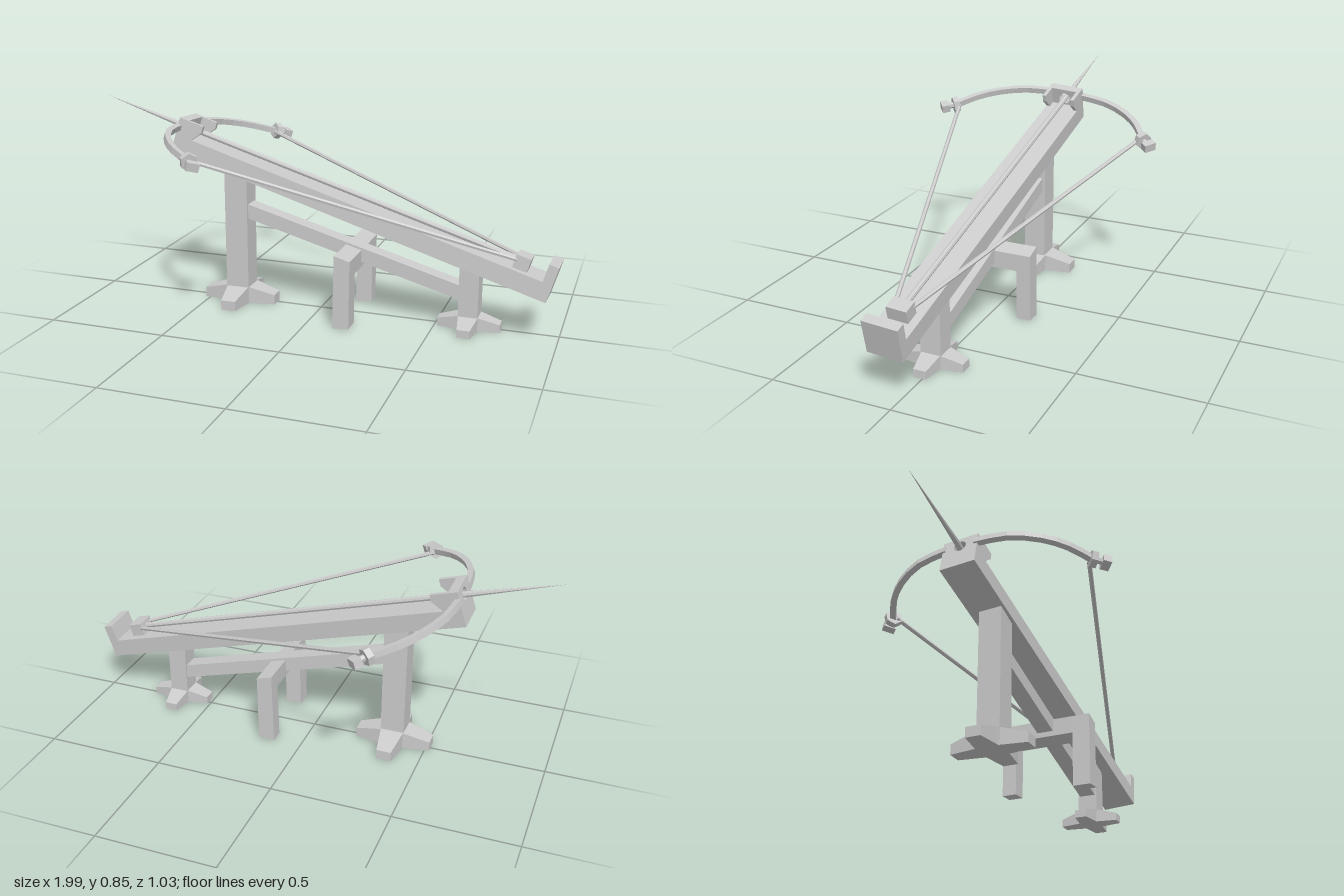
import * as THREE from 'three';

const mat = new THREE.MeshStandardMaterial({ color: 0xcccccc, flatShading: true });

function add(parent, name, geo, x = 0, y = 0, z = 0) {
  const m = new THREE.Mesh(geo, mat);
  m.name = name;
  m.position.set(x, y, z);
  parent.add(m);
  return m;
}

// Box given by its limits on each axis
function block(parent, name, x0, x1, y0, y1, z0, z1) {
  return add(parent, name, new THREE.BoxGeometry(x1 - x0, y1 - y0, z1 - z0),
    (x0 + x1) / 2, (y0 + y1) / 2, (z0 + z1) / 2);
}

// Side outline in x, y extruded from z0 to z1
function slab(parent, name, pts, z0, z1) {
  const shape = new THREE.Shape(pts.map(p => new THREE.Vector2(...p)));
  const geo = new THREE.ExtrudeGeometry(shape, { depth: z1 - z0, bevelEnabled: false });
  return add(parent, name, geo, 0, 0, z0);
}

// Rod between two points; r0 at the start, r1 at the end
function rod(parent, name, a, b, r0, r1, sides) {
  const dir = b.clone().sub(a);
  const geo = new THREE.CylinderGeometry(r1, r0, dir.length(), sides);
  const m = add(parent, name, geo);
  m.position.copy(a).add(b).multiplyScalar(0.5);
  m.quaternion.setFromUnitVectors(new THREE.Vector3(0, 1, 0), dir.normalize());
  return m;
}

// Four tapering toes around a post
function starFoot(parent, name, x, z, hub, reach, height) {
  const foot = new THREE.Group();
  foot.name = name;
  foot.position.set(x, 0.005, z);
  block(foot, 'footHub', -hub, hub, 0, height, -hub, hub);
  for (let i = 0; i < 4; i++) {
    const geo = new THREE.BoxGeometry(reach - hub, height, hub * 2);
    geo.translate((reach + hub) / 2, height / 2, 0);
    const p = geo.attributes.position;
    for (let k = 0; k < p.count; k++) {
      if (p.getX(k) > (reach + hub) / 2) {
        p.setY(k, p.getY(k) * 0.58);
        p.setZ(k, p.getZ(k) * 0.65);
      }
    }
    geo.rotateY(i * Math.PI / 2);
    add(foot, 'footToe', geo);
  }
  parent.add(foot);
}

function makeStand() {
  const stand = new THREE.Group();
  stand.name = 'stand';
  const zc = 0.012;
  block(stand, 'frontPost', -0.41, -0.31, 0.03, 0.6, zc - 0.048, zc + 0.048);
  block(stand, 'rearPost', 0.6, 0.68, 0.03, 0.29, zc - 0.043, zc + 0.043);
  starFoot(stand, 'frontFoot', -0.36, zc - 0.005, 0.048, 0.16, 0.072);
  starFoot(stand, 'rearFoot', 0.64, zc, 0.04, 0.128, 0.057);
  slab(stand, 'slopingBrace', [[-0.32, 0.385], [0.61, 0.128], [0.61, 0.188], [-0.32, 0.447]],
    zc - 0.035, zc + 0.035);
  // Two-legged trestle under the brace
  const leg = [[0.118, 0.005], [0.187, 0.01], [0.19, 0.295], [0.124, 0.314]];
  slab(stand, 'trestleLeg', leg, 0.135, 0.21);
  slab(stand, 'trestleLeg', leg, -0.18, -0.12);
  slab(stand, 'trestleBar', [[0.123, 0.24], [0.189, 0.222], [0.19, 0.295], [0.124, 0.314]], -0.12, 0.135);
  return stand;
}

// Weapon in its own frame: x runs from the muzzle to the rear, y up, z across
function makeWeapon() {
  const g = new THREE.Group();
  g.name = 'weapon';
  const hw = 0.074, boltY = 0.103;
  block(g, 'stock', 0, 1.67, 0, 0.075, -hw, hw);
  block(g, 'rearStop', 1.63, 1.67, 0.075, 0.15, -hw, hw);
  block(g, 'triggerBlock', 1.5, 1.56, 0.075, 0.13, -0.042, 0.042);

  // Muzzle plate with a round hole for the bolt
  const plate = new THREE.Shape();
  plate.moveTo(-hw, 0.075).lineTo(hw, 0.075).lineTo(hw, 0.15).lineTo(-hw, 0.15).closePath();
  const hole = new THREE.Path();
  hole.absarc(0, 0.107, 0.026, 0, Math.PI * 2, true);
  plate.holes.push(hole);
  const plateGeo = new THREE.ExtrudeGeometry(plate, { depth: 0.04, bevelEnabled: false, curveSegments: 8 });
  plateGeo.rotateY(Math.PI / 2);
  add(g, 'muzzlePlate', plateGeo);

  // Bolt with a long point
  const at = (x, z = 0, y = boltY) => new THREE.Vector3(x, y, z);
  rod(g, 'boltShaft', at(0), at(1.5), 0.012, 0.012, 8);
  rod(g, 'boltPoint', at(0), at(-0.393), 0.013, 0, 8);

  for (const s of [1, -1]) {
    const cheek = [[0.04, 0.075], [0.075, 0.075], [0.112, 0.12], [0.112, 0.15], [0.04, 0.15]];
    slab(g, 'muzzleCheek', cheek, s > 0 ? hw - 0.016 : -hw, s > 0 ? hw : -hw + 0.016);

    // Curved bow limb: a band following the curve
    const curve = new THREE.CatmullRomCurve3([
      [0.004, 0.06], [0.022, 0.19], [0.08, 0.305], [0.155, 0.385], [0.25, 0.445],
    ].map(p => new THREE.Vector3(p[0], p[1] * s, 0)));
    const outer = [], inner = [];
    for (let i = 0; i <= 8; i++) {
      const p = curve.getPoint(i / 8), t = curve.getTangent(i / 8), h = 0.012;
      outer.push(new THREE.Vector2(p.x - t.y * h, p.y + t.x * h));
      inner.unshift(new THREE.Vector2(p.x + t.y * h, p.y - t.x * h));
    }
    const limb = new THREE.ExtrudeGeometry(new THREE.Shape([...outer, ...inner]), { depth: 0.025, bevelEnabled: false });
    limb.rotateX(Math.PI / 2);
    add(g, 'bowLimb', limb, 0, 0.122, 0);

    // Collar and end block at the limb tip
    const tip = at(0.25, 0.445 * s, 0.11), dir = new THREE.Vector3(0.66, 0, 0.75 * s);
    const along = d => tip.clone().addScaledVector(dir, d);
    rod(g, 'limbCollar', along(-0.012), along(0.014), 0.036, 0.036, 6);
    rod(g, 'limbNeck', along(0.01), along(0.035), 0.014, 0.014, 6);
    const end = add(g, 'limbEnd', new THREE.BoxGeometry(0.05, 0.034, 0.034));
    end.position.copy(along(0.052));
    end.rotation.y = Math.atan2(dir.x, dir.z);

    rod(g, 'bowString', at(0.25, 0.428 * s, 0.108), at(1.51, 0.034 * s, 0.108), 0.009, 0.009, 6);
  }

  // Tilt down to the rear, with a slight swing and roll
  const u = new THREE.Vector3(1.6, -0.47, 0.052).normalize();
  const w = new THREE.Vector3(0, 0.055, 1);
  w.addScaledVector(u, -w.dot(u)).normalize();
  const v = new THREE.Vector3().crossVectors(w, u);
  g.quaternion.setFromRotationMatrix(new THREE.Matrix4().makeBasis(u, v, w));
  g.position.set(-0.65, 0.65, -0.01);
  return g;
}

export function createModel() {
  const model = new THREE.Group();
  model.name = 'mountedCrossbow';
  model.add(makeStand(), makeWeapon());
  return model;
}
